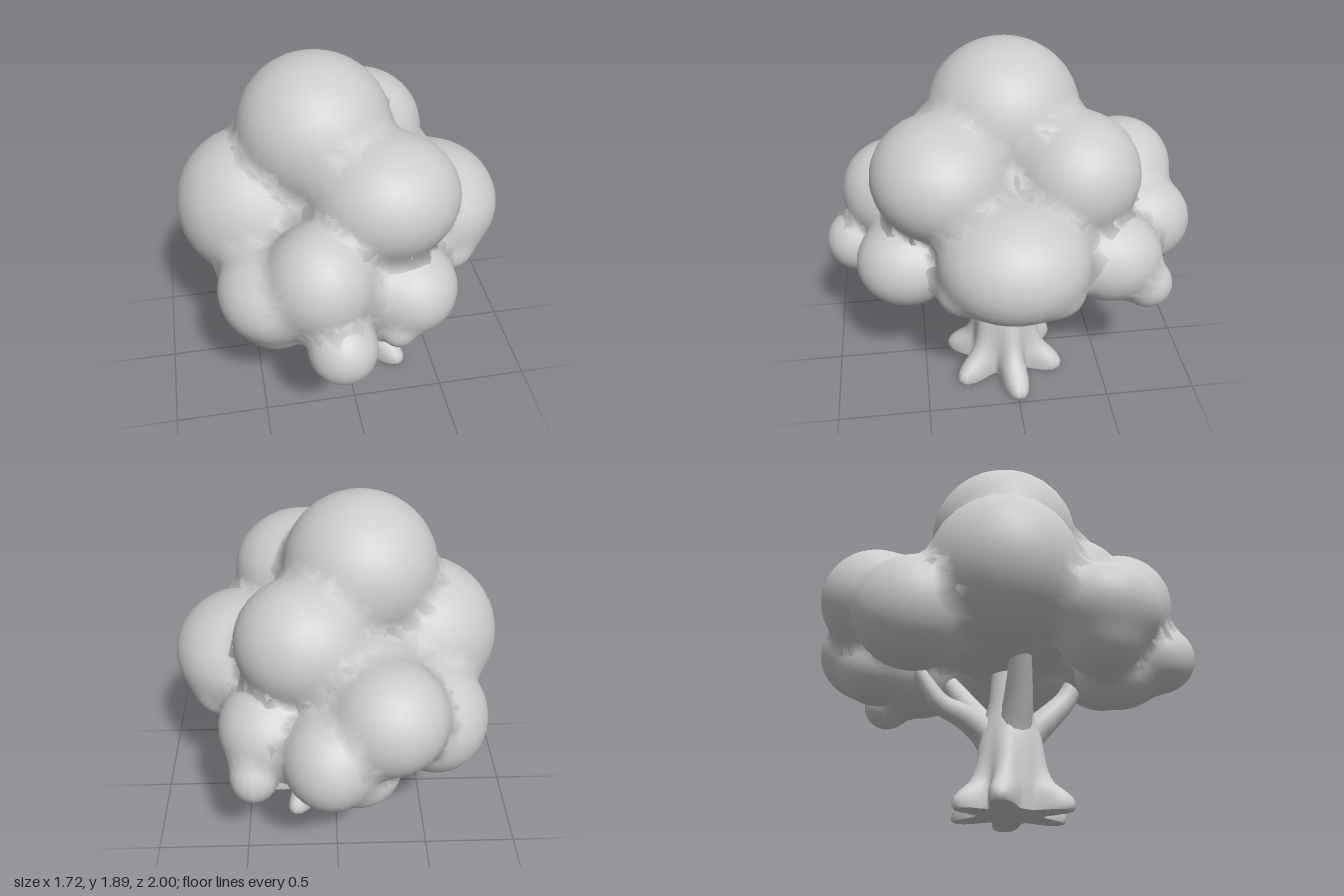
import * as THREE from 'three';

const V = (x, y, z) => new THREE.Vector3(x, y, z);

// Foliage clumps: centre x, y, z then radius x, y, z
const CLUMPS = [
  [-0.13, 1.51, 0.01, 0.395, 0.38, 0.4],   // crown
  [-0.46, 1.1, 0.02, 0.4, 0.4, 0.4],       // large side clump
  [0.165, 1.31, 0.37, 0.37, 0.31, 0.35],   // upper front
  [0.17, 1.28, -0.33, 0.34, 0.32, 0.33],   // upper back
  [0.5, 1.0, 0.03, 0.355, 0.3, 0.385],     // left side
  [-0.42, 0.9, 0.5, 0.28, 0.24, 0.29],     // lower front ring
  [-0.2, 1.03, 0.61, 0.27, 0.28, 0.28],
  [0.255, 0.87, 0.56, 0.245, 0.23, 0.26],
  [-0.13, 0.76, 0.83, 0.17, 0.17, 0.17],
  [-0.1, 0.68, 0.6, 0.18, 0.17, 0.22],
  [-0.41, 0.74, 0.5, 0.2, 0.17, 0.2],
  [0.17, 0.72, 0.72, 0.08, 0.08, 0.08],
  [-0.5, 0.87, -0.42, 0.27, 0.29, 0.3],    // lower back ring
  [-0.24, 1.06, -0.66, 0.29, 0.28, 0.29],
  [0.04, 0.88, -0.73, 0.24, 0.25, 0.27],
  [0.35, 0.88, -0.49, 0.25, 0.24, 0.27],
  [0.42, 0.72, -0.69, 0.12, 0.13, 0.13],
  [-0.1, 0.73, -0.66, 0.21, 0.18, 0.2],
  [0.6, 0.85, -0.17, 0.13, 0.11, 0.13],    // small bumps
  [0.53, 0.85, 0.3, 0.13, 0.1, 0.12],
  [0.05, 0.93, 0.5, 0.24, 0.21, 0.24],     // fillers between clumps
  [-0.12, 1.08, -0.42, 0.34, 0.26, 0.26],
  [-0.03, 1.08, 0, 0.48, 0.32, 0.5],
];

// Blended distance to all clumps
const BLEND = 0.024;
function field(p) {
  let sum = 0;
  for (const [x, y, z, a, b, c] of CLUMPS) {
    const d = (Math.hypot((p.x - x) / a, (p.y - y) / b, (p.z - z) / c) - 1) * Math.min(a, b, c);
    sum += Math.exp(-d / BLEND);
  }
  return -BLEND * Math.log(sum);
}

function gradient(p) {
  const e = 0.004, g = V(0, 0, 0);
  for (const k of ['x', 'y', 'z']) {
    const a = p.clone(), b = p.clone();
    a[k] += e;
    b[k] -= e;
    g[k] = field(a) - field(b);
  }
  return g.normalize();
}

// Ellipsoid whose surface swells into soft fillets where it meets its neighbours
function clumpGeometry([x, y, z, a, b, c]) {
  const small = a < 0.15;
  const geo = new THREE.SphereGeometry(1, small ? 16 : 30, small ? 12 : 22);
  geo.scale(a, b, c).translate(x, y, z);
  const pos = geo.attributes.position, nor = geo.attributes.normal;
  const p = V(0, 0, 0), dir = V(0, 0, 0);
  for (let i = 0; i < pos.count; i++) {
    p.fromBufferAttribute(pos, i);
    dir.fromBufferAttribute(nor, i).normalize();
    let moved = 0;
    for (let s = 0; s < 10; s++) {
      const step = Math.min(Math.max(-field(p), 0), 0.1 - moved);
      moved += step;
      p.addScaledVector(dir, step);
    }
    pos.setXYZ(i, p.x, p.y, p.z);
    const n = gradient(p);
    nor.setXYZ(i, n.x, n.y, n.z);
  }
  return geo;
}

// Root tips as x, z offsets from the trunk axis
const AXIS = V(0.09, 0, 0.035);
const ROOTS = [[-0.36, -0.05], [-0.12, 0.325], [0.23, 0.28], [0.4, -0.05], [0.16, -0.31], [-0.18, -0.28]];

// Linear lookup in a list of [height, value]
function lookup(list, y) {
  const i = Math.max(1, list.findIndex(([h]) => h >= y));
  const [h0, v0] = list[i - 1], [h1, v1] = list[i];
  return v0 + (v1 - v0) * (y - h0) / (h1 - h0);
}

// Trunk: stacked rings that swell into root lobes near the ground
const SIDES = 72;
function trunkGeometry() {
  const heights = [0, 0.015, 0.04, 0.065, 0.09, 0.115, 0.145, 0.18, 0.23, 0.3, 0.4, 0.5, 0.62, 0.78, 0.95];
  const core = [[0, 0.17], [0.1, 0.178], [0.25, 0.175], [0.4, 0.165], [0.5, 0.14], [0.62, 0.112], [0.78, 0.1], [0.95, 0.08]];
  const flare = [[0, 0.93], [0.015, 1], [0.05, 1], [0.08, 0.87], [0.11, 0.65], [0.145, 0.4], [0.19, 0.23], [0.25, 0.12], [0.4, 0.03], [0.5, 0], [1, 0]];
  const geo = new THREE.CylinderGeometry(1, 1, 1, SIDES, heights.length - 1, true);
  const pos = geo.attributes.position;
  for (let i = 0; i < pos.count; i++) {
    const y = heights[heights.length - 1 - Math.floor(i / (SIDES + 1))];
    const angle = Math.atan2(pos.getZ(i), pos.getX(i));
    const base = lookup(core, y);
    let r = base;
    for (const [x, z] of ROOTS) {
      const turn = angle - Math.atan2(z, x);
      const off = Math.atan2(Math.sin(turn), Math.cos(turn));
      r += (Math.hypot(x, z) - base) * lookup(flare, y) * Math.exp(-Math.pow(Math.abs(off) / 0.29, 2.6));
    }
    pos.setXYZ(i, AXIS.x + Math.cos(angle) * r, y, AXIS.z + Math.sin(angle) * r);
  }
  geo.computeVertexNormals();
  return geo;
}

// Flat sole, facing down, closing the bottom ring of the trunk
function soleGeometry(trunk) {
  const pos = trunk.attributes.position, pts = [];
  for (let i = pos.count - SIDES - 1; i < pos.count - 1; i++) pts.push(new THREE.Vector2(pos.getX(i), pos.getZ(i)));
  return new THREE.ShapeGeometry(new THREE.Shape(pts)).rotateX(Math.PI / 2);
}

// Tube tapering from r0 to r1
function taperedTube(points, r0, r1, rings = 12, sides = 12) {
  const curve = new THREE.CatmullRomCurve3(points);
  const geo = new THREE.TubeGeometry(curve, rings, 1, sides, false);
  const pos = geo.attributes.position, v = V(0, 0, 0);
  for (let i = 0; i < pos.count; i++) {
    const t = Math.floor(i / (sides + 1)) / rings;
    const c = curve.getPointAt(t);
    v.fromBufferAttribute(pos, i).sub(c).multiplyScalar(r0 + (r1 - r0) * t).add(c);
    pos.setXYZ(i, v.x, v.y, v.z);
  }
  return geo;
}

export function createModel() {
  const tree = new THREE.Group();
  tree.name = 'tree';
  const grey = new THREE.MeshStandardMaterial({ color: 0xcccccc });
  grey.name = 'light grey';
  const add = (parent, geo, name) => {
    const mesh = new THREE.Mesh(geo, grey);
    mesh.name = name;
    parent.add(mesh);
  };
  const group = (name) => {
    const g = new THREE.Group();
    g.name = name;
    tree.add(g);
    return g;
  };

  // Foliage
  const foliage = group('foliage');
  CLUMPS.forEach((c, i) => add(foliage, clumpGeometry(c), 'foliageClump' + (i + 1)));

  // Trunk with roots
  const trunk = trunkGeometry();
  add(tree, trunk, 'trunkAndRoots');
  add(tree, soleGeometry(trunk), 'trunkSole');

  // Branches: each starts deep inside the trunk
  const branches = group('branches');
  [
    [[V(0.09, 0.24, 0.05), V(0.11, 0.42, 0.13), V(0.14, 0.54, 0.24), V(0.18, 0.66, 0.34), V(0.2, 0.82, 0.41)], 0.1, 0.045],
    [[V(0.08, 0.24, 0.04), V(0.02, 0.43, 0.06), V(-0.04, 0.57, 0.08), V(-0.16, 0.82, 0.1)], 0.11, 0.055],
    [[V(0.09, 0.22, 0.01), V(0.07, 0.41, -0.08), V(0.02, 0.51, -0.2), V(-0.04, 0.56, -0.32), V(-0.09, 0.74, -0.45)], 0.1, 0.035],
    [[V(0.1, 0.24, 0.01), V(0.12, 0.43, -0.06), V(0.16, 0.57, -0.16), V(0.25, 0.82, -0.33)], 0.1, 0.045],
    [[V(0.1, 0.24, 0.03), V(0.14, 0.42, 0.04), V(0.17, 0.58, 0.05), V(0.26, 0.85, 0.05)], 0.11, 0.055],
  ].forEach(([pts, r0, r1], i) => add(branches, taperedTube(pts, r0, r1), 'branch' + (i + 1)));

  return tree;
}
